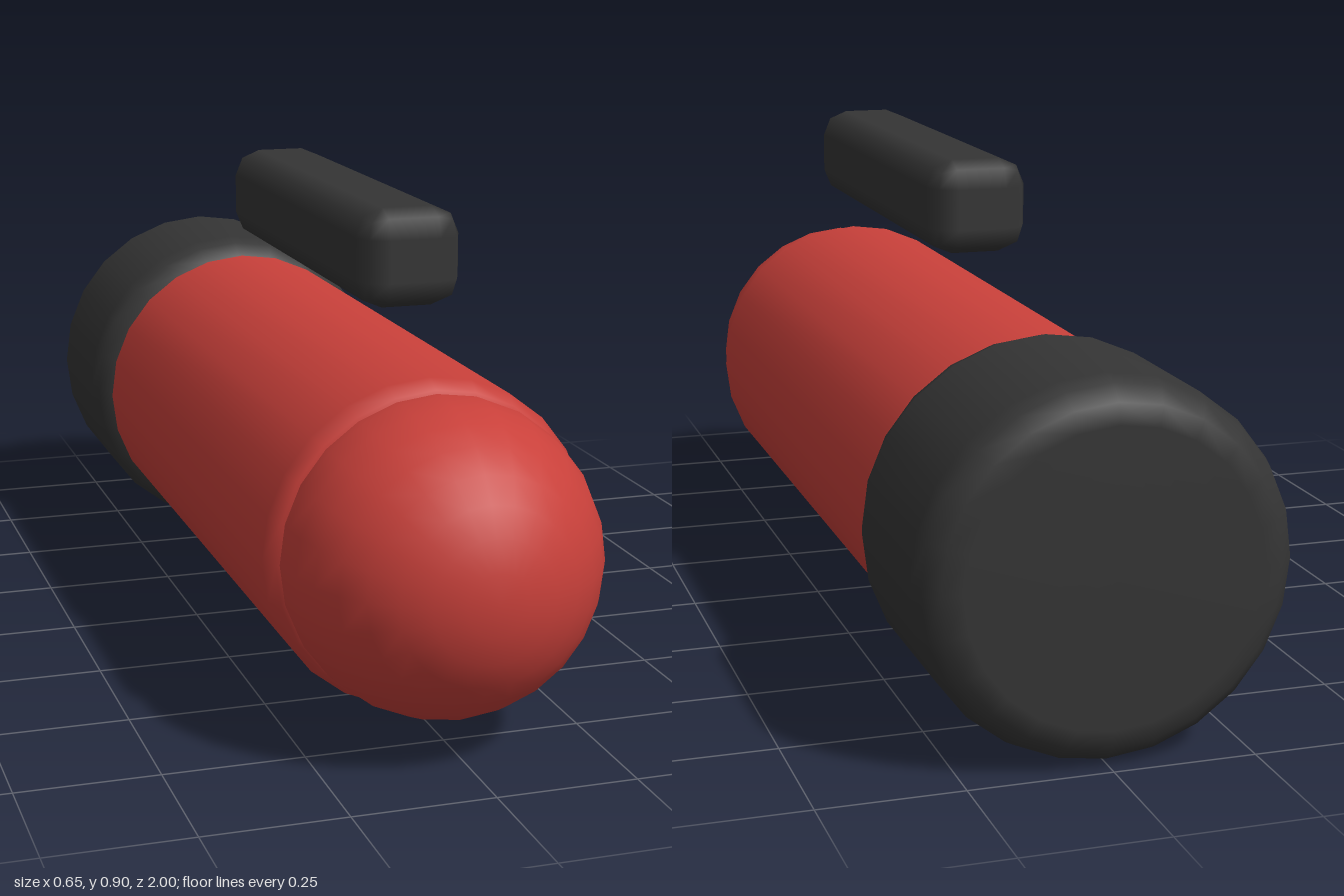
import * as THREE from 'three';
import { RoundedBoxGeometry } from 'three/addons/geometries/RoundedBoxGeometry.js';

const AXIS_Y = 0.327;
const SIDES = 24;

// Cylinder along z with rounded rims, from z0 (back) to z1 (front)
function roundedCylinder(radius, z0, z1, bevel, steps) {
  const pts = [new THREE.Vector2(0, z0)];
  const corner = (z, from) => {
    for (let i = 0; i <= steps; i++) {
      const a = from + (i / steps) * Math.PI / 2;
      pts.push(new THREE.Vector2(radius - bevel + bevel * Math.cos(a), z + bevel * Math.sin(a)));
    }
  };
  corner(z0 + bevel, -Math.PI / 2);
  corner(z1 - bevel, 0);
  pts.push(new THREE.Vector2(0, z1));
  return new THREE.LatheGeometry(pts, SIDES).rotateX(Math.PI / 2);
}

export function createModel() {
  const group = new THREE.Group();
  const red = new THREE.MeshStandardMaterial({ color: 0xc8403a });
  red.name = 'red';
  const black = new THREE.MeshStandardMaterial({ color: 0x353535 });
  black.name = 'charcoal';

  const add = (name, geometry, material, y, z = 0) => {
    const mesh = new THREE.Mesh(geometry, material);
    mesh.name = name;
    mesh.position.set(0, y, z);
    group.add(mesh);
  };

  // Long tube with softened ends
  add('body', roundedCylinder(0.298, -0.6, 0.705, 0.05, 2), red, AXIS_Y);

  // Rounded nose
  add('nose', new THREE.SphereGeometry(0.28, SIDES, 16).rotateX(Math.PI / 2), red, AXIS_Y, 0.72);

  // Wide rear cap
  add('rearCap', roundedCylinder(0.326, -1, -0.573, 0.07, 3), black, AXIS_Y);

  // Floating handle bar
  add('handle', new RoundedBoxGeometry(0.19, 0.175, 0.88, 1, 0.05), black, 0.8125, 0.145);

  return group;
}
